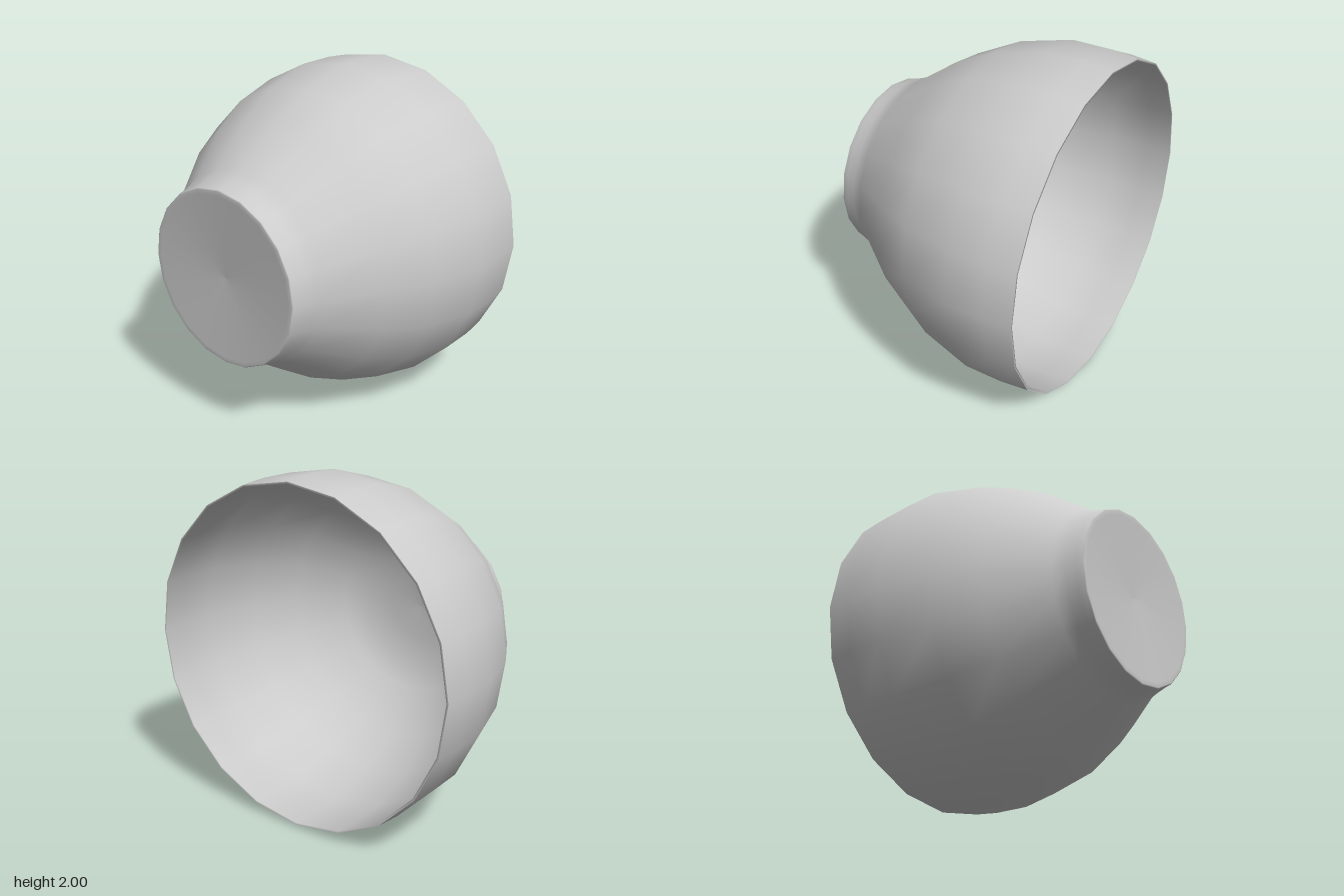
import * as THREE from 'three';

export function createModel() {
  const group = new THREE.Group();
  const material = new THREE.MeshStandardMaterial({ color: 0xcccccc, side: THREE.DoubleSide });

  // Spins a profile of [radius, distance along the axis]; foot to the front, mouth to the back
  const addLathe = (name, points) => {
    const profile = points.map(([r, a]) => new THREE.Vector2(r, a));
    const mesh = new THREE.Mesh(new THREE.LatheGeometry(profile, 20), material);
    mesh.geometry.rotateX(Math.PI / 2);
    mesh.position.y = 1;
    mesh.name = name;
    group.add(mesh);
  };

  // Outer wall and foot, from the rim to the slightly hollow underside
  addLathe('outerWall', [
    [0.985, -0.72], [1, -0.56], [1, -0.33], [0.92, -0.01], [0.79, 0.25], [0.575, 0.55],
    [0.548, 0.62], [0.53, 0.68], [0.522, 0.715], [0.515, 0.72], [0.49, 0.718], [0, 0.69],
  ]);

  // Inner wall, from the rounded floor back to the thin rim
  addLathe('innerWall', [
    [0, 0.57], [0.2, 0.56], [0.36, 0.53], [0.53, 0.46], [0.77, 0.24], [0.905, -0.02],
    [0.987, -0.33], [0.987, -0.56], [0.973, -0.72], [0.985, -0.72],
  ]);

  return group;
}
